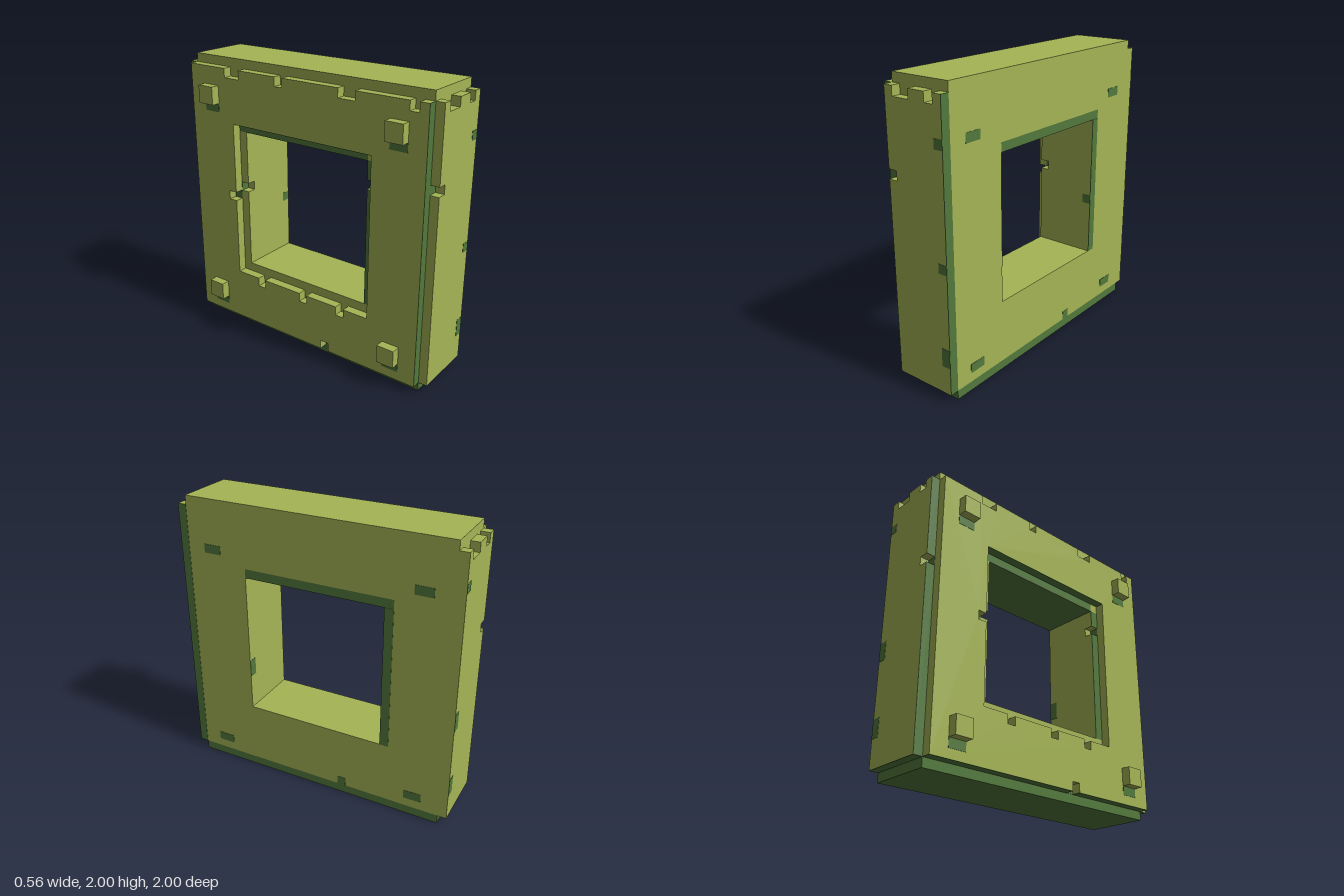
import * as THREE from 'three';

const U = 1 / 16; // all sizes below are in sixteenths
const T = 0.03;   // half thickness of painted marks

export function createModel() {
  const model = new THREE.Group();
  model.name = 'squareFrameBlock';
  const lime = new THREE.MeshStandardMaterial({ color: 0xa5b555 });
  lime.name = 'lime green';
  const dark = new THREE.MeshStandardMaterial({ color: 0x52793c });
  dark.name = 'dark green';

  const add = (name, geometry, material) => {
    geometry.scale(U, U, U);
    const mesh = new THREE.Mesh(geometry, material);
    mesh.name = name;
    model.add(mesh);
  };
  const box = (name, [x0, x1], [y0, y1], [z0, z1], material) => {
    const g = new THREE.BoxGeometry(x1 - x0, y1 - y0, z1 - z0);
    g.translate((x0 + x1) / 2, (y0 + y1) / 2, (z0 + z1) / 2);
    add(name, g, material);
  };
  // thin marks lying on a face of constant x, y or z
  const thin = (v) => [v - T, v + T];
  const markX = (x, y, z, name = 'sideMark') => box(name, thin(x), y, z, dark);
  const markY = (x, y, z, name = 'underMark') => box(name, x, thin(y), z, dark);
  const markZ = (x, y, z, name = 'edgeMark') => box(name, x, y, thin(z), dark);

  // rectangle with one-unit notches; outward notches enlarge a hole
  const outline = ([a0, a1], [b0, b1], { top = [], bottom = [], left = [] } = {}, d = 1) => {
    const p = [[a0, b0]];
    for (const [s, e] of bottom) p.push([s, b0], [s, b0 + d], [e, b0 + d], [e, b0]);
    p.push([a1, b0], [a1, b1]);
    for (const [s, e] of [...top].reverse()) p.push([e, b1], [e, b1 - d], [s, b1 - d], [s, b1]);
    p.push([a0, b1]);
    for (const [s, e] of [...left].reverse()) p.push([a0, e], [a0 + d, e], [a0 + d, s], [a0, s]);
    return p.map(([a, b]) => new THREE.Vector2(a, b));
  };
  const panel = (name, points, hole, depth, place) => {
    const shape = new THREE.Shape(points);
    if (hole) shape.holes.push(new THREE.Path(hole));
    const g = new THREE.ExtrudeGeometry(shape, { depth, bevelEnabled: false });
    place(g);
    add(name, g, lime);
  };
  const alongX = (x1) => (g) => g.rotateY(-Math.PI / 2).translate(x1, 0, 0);
  const alongZ = (z0) => (g) => g.translate(0, 0, z0);

  const X = [-2.5, 4.5];
  const spotX = [3.5, 4.5];

  // thick square core with its window
  panel('core', outline([-15, 15], [1, 32]), outline([-9, 9], [8, 25]), 7, alongX(4.5));
  box('basePlate', X, [0, 1], [-15, 15], dark);
  box('windowCeiling', X, [24, 25], [-9, 8], dark);

  // window side walls, notched on the edge near the joint panel
  panel('windowWallFront', outline(X, [8, 25], { left: [[21, 22]] }), null, 1, alongZ(8));
  panel('windowWallBack', outline(X, [8, 24], { left: [[17, 18]] }), null, 1, alongZ(-9));
  markZ([-2.5, -1.5], [21, 22], 9, 'notchFloor');
  markZ([-2.5, -1.5], [17, 18], -9, 'notchFloor');
  markZ(spotX, [12, 14], 8);
  markZ(spotX, [14, 15], -8);
  markX(4.5, [8, 24], [-9, -8], 'windowEdge');
  for (const y of [[8, 21], [22, 24]]) markX(-2.5, y, [8, 9], 'windowEdge');

  // front and back panels
  panel('frontPanel', outline(X, [1, 31], { top: [[-1.5, 0.5], [2.5, 3.5]], left: [[22, 23]] }),
    null, 1, alongZ(15));
  panel('backPanel', outline(X, [1, 31], { top: [[-1.5, -0.5], [1.5, 3.5]], left: [[20.5, 21.5]] }),
    null, 1, alongZ(-16));
  markZ([-2.5, -1.5], [22, 23], 15, 'notchFloor');
  markZ([-2.5, -1.5], [20.5, 21.5], -15, 'notchFloor');
  for (const y of [[26, 27], [14, 15], [4, 6]]) markZ(spotX, y, 16);
  for (const y of [[27, 28], [12, 14], [4, 6]]) markZ(spotX, y, -16);
  markX(4.5, [1, 31], [15, 16], 'frontPanelEdge');
  for (const y of [[1, 20.5], [21.5, 31]]) markX(-2.5, y, [-16, -15], 'backPanelEdge');
  for (const z of [[15, 16], [-16, -15]]) markY(X, 1, z);

  // joint panel with notched rim and notched window
  panel('jointPanel',
    outline([-15, 15], [1, 31], { top: [[-10, -8], [-3, -2], [5, 7], [13, 14]], bottom: [[3, 4]] }),
    outline([-9, 9], [7, 25], { bottom: [[-6, -5], [0, 1], [5, 6]], left: [[16, 17]] }, -1),
    1, alongX(-2.5));
  markZ([-3.5, -2.5], [1, 31], 15, 'jointPanelEdge');
  for (const z of [[-15, 3], [4, 15]]) markY([-3.5, -2.5], 1, z);
  markY([-3.5, -2.5], 25, [-9, 9]);
  markX(-2.5, [1, 2], [3, 4], 'notchFloor');
  markX(-2.5, [16, 17], [-10, -9], 'notchFloor');

  // four pegs, and the slots that match them on both broad faces
  for (const z of [[11, 13], [-13, -11]]) {
    for (const y of [3, 27]) {
      box('peg', [-4.5, -3.5], [y, y + 2], z, lime);
      markX(4.5, [y - 1, y], z, 'slotMark');
      markX(-3.5, [y - 1, y], z, 'slotMark');
    }
  }
  markX(4.5, [1, 2], [-4, -3]);

  return model;
}
